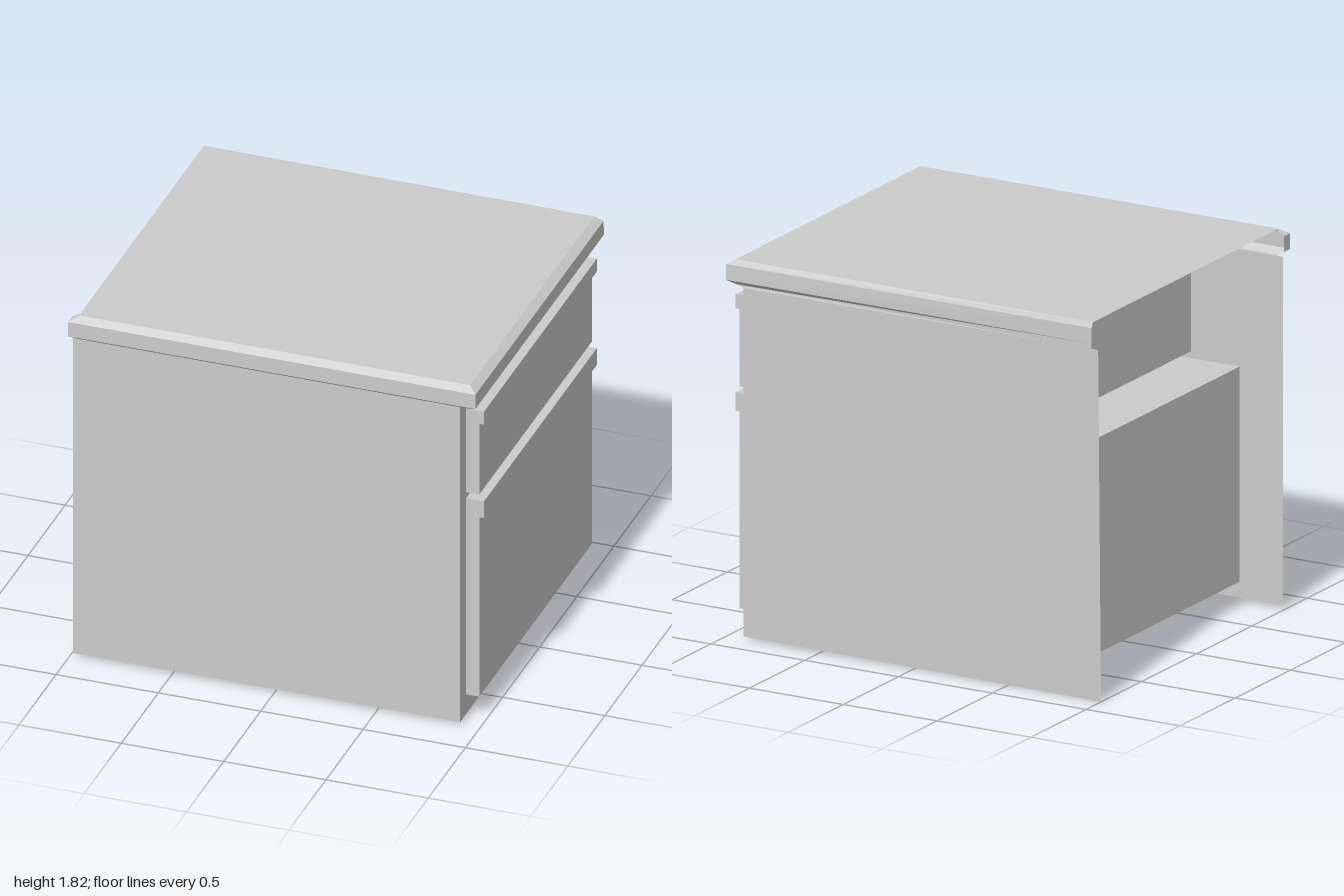
import * as THREE from 'three';

const material = new THREE.MeshStandardMaterial({ color: 0xcccccc, flatShading: true });
const sheetMaterial = new THREE.MeshStandardMaterial({ color: 0xcccccc, flatShading: true, side: THREE.DoubleSide });

// Thin surface made of convex polygons, corners anticlockwise from outside
function sheet(name, polygons) {
  const positions = [];
  for (const p of polygons) {
    for (let i = 1; i < p.length - 1; i++) positions.push(...p[0], ...p[i], ...p[i + 1]);
  }
  const geometry = new THREE.BufferGeometry();
  geometry.setAttribute('position', new THREE.Float32BufferAttribute(positions, 3));
  geometry.computeVertexNormals();
  const mesh = new THREE.Mesh(geometry, sheetMaterial);
  mesh.name = name;
  return mesh;
}

// Solid drawer with a projecting grip rail along its top edge
function drawer(name, back, bottom, gripBottom, top) {
  const zBack = -0.79, zFront = 0.73, face = 0.97, grip = 0.993;
  const profile = new THREE.Shape([
    [back, bottom], [face, bottom], [face, gripBottom],
    [grip, gripBottom], [grip, top], [back, top],
  ].map(([x, y]) => new THREE.Vector2(x, y)));
  const geometry = new THREE.ExtrudeGeometry(profile, { depth: zFront - zBack, bevelEnabled: false });
  geometry.translate(0, 0, zBack);
  const mesh = new THREE.Mesh(geometry, material);
  mesh.name = name;
  return mesh;
}

// Bevelled top, lofted through levels and open along its -x edge
function worktop() {
  const levels = [
    [1.69, [[-0.95, 0.81], [-0.95, 0.81], [0.905, 0.81], [0.905, -0.865], [-0.95, -0.865]]],
    [1.69, [[-0.95, 0.81], [-0.95, 0.83], [0.96, 0.83], [0.96, -0.83], [-0.95, -0.865]]],
    [1.715, [[-0.99, 0.81], [-0.99, 0.865], [1, 0.865], [1, -0.865], [-0.95, -0.865]]],
    [1.79, [[-0.99, 0.81], [-0.99, 0.865], [1, 0.865], [1, -0.862], [-0.95, -0.865]]],
    [1.815, [[-0.95, 0.81], [-0.95, 0.83], [0.96, 0.83], [0.96, -0.845], [-0.95, -0.853]]],
  ].map(([y, ring]) => ring.map(([x, z]) => [x, y, z]));
  const polygons = [];
  for (let l = 0; l < levels.length - 1; l++) {
    for (let i = 0; i < 4; i++) {
      const low = levels[l], high = levels[l + 1];
      polygons.push([low[i], low[i + 1], high[i + 1], high[i]]);
    }
  }
  polygons.push(levels[levels.length - 1]);
  return sheet('worktop', polygons);
}

export function createModel() {
  const group = new THREE.Group();
  group.name = 'drawerCabinet';

  // Open-backed carcass
  group.add(
    sheet('frontSidePanel', [[[-0.985, 0.015, 0.81], [0.905, 0.015, 0.81], [0.905, 1.69, 0.81], [-0.985, 1.69, 0.81]]]),
    sheet('rearSidePanel', [[[0.905, 0.015, -0.865], [-1, 0, -0.865], [-0.985, 1.69, -0.865], [0.905, 1.69, -0.865]]]),
    sheet('drawerFrame', [[[0.905, 0.015, 0.81], [0.905, 0.015, -0.865], [0.905, 1.69, -0.865], [0.905, 1.69, 0.81]]]),
  );

  // Drawers reach through the frame into the carcass
  group.add(
    drawer('lowerDrawer', -0.8, 0.12, 1.067, 1.155),
    drawer('upperDrawer', -0.54, 1.187, 1.56, 1.628),
  );

  group.add(worktop());
  return group;
}
